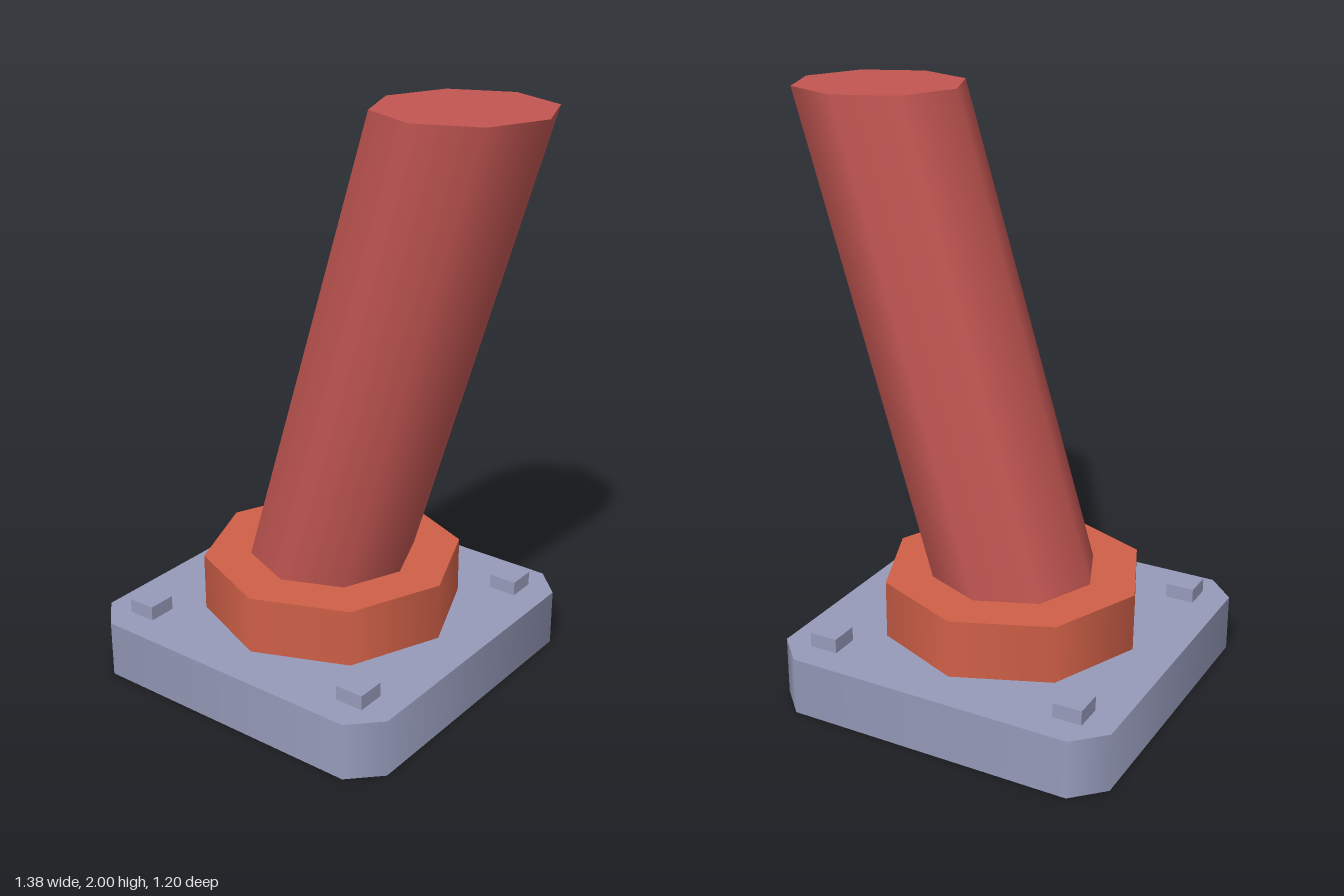
import * as THREE from 'three';

const CENTRE_X = -0.095; // axis of the base; the pipe leans away from it

export function createModel() {
  const group = new THREE.Group();
  const baseGrey = new THREE.MeshStandardMaterial({ name: 'blue grey', color: 0x969bba });
  const collarOrange = new THREE.MeshStandardMaterial({ name: 'orange', color: 0xd06048 });
  const pipeRed = new THREE.MeshStandardMaterial({ name: 'red', color: 0xc25652 });

  const add = (name, geometry, material, x, y, z) => {
    const mesh = new THREE.Mesh(geometry, material);
    mesh.name = name;
    mesh.position.set(x, y, z);
    group.add(mesh);
  };

  // Square base plate with cut corners, from an eight-sided cylinder
  const plate = new THREE.CylinderGeometry(1, 1, 0.2, 8, 1, false, Math.PI / 8);
  const p = plate.attributes.position;
  const snap = (v) => (Math.abs(v) < 0.01 ? 0 : Math.sign(v) * (Math.abs(v) > 0.6 ? 0.6 : 0.5));
  for (let i = 0; i < p.count; i++) p.setXYZ(i, snap(p.getX(i)), p.getY(i), snap(p.getZ(i)));
  add('basePlate', plate, baseGrey, CENTRE_X, 0.1, 0);

  // Four square bolts
  for (const sx of [-1, 1]) {
    for (const sz of [-1, 1]) {
      add('bolt', new THREE.BoxGeometry(0.1, 0.05, 0.1), baseGrey, CENTRE_X + sx * 0.45, 0.225, sz * 0.45);
    }
  }

  // Octagonal collar
  add('collar', new THREE.CylinderGeometry(0.448, 0.448, 0.2, 8), collarOrange, CENTRE_X, 0.3, 0);

  // Leaning pipe: sheared sideways so both ends stay level
  const height = 1.6;
  const lean = 0.498;
  const pipe = new THREE.CylinderGeometry(0.286, 0.286, height, 8);
  pipe.translate(0, height / 2, 0);
  pipe.applyMatrix4(new THREE.Matrix4().makeShear(0, 0, lean / height, 0, 0, 0));
  add('pipe', pipe, pipeRed, CENTRE_X, 0.4, 0);

  return group;
}
